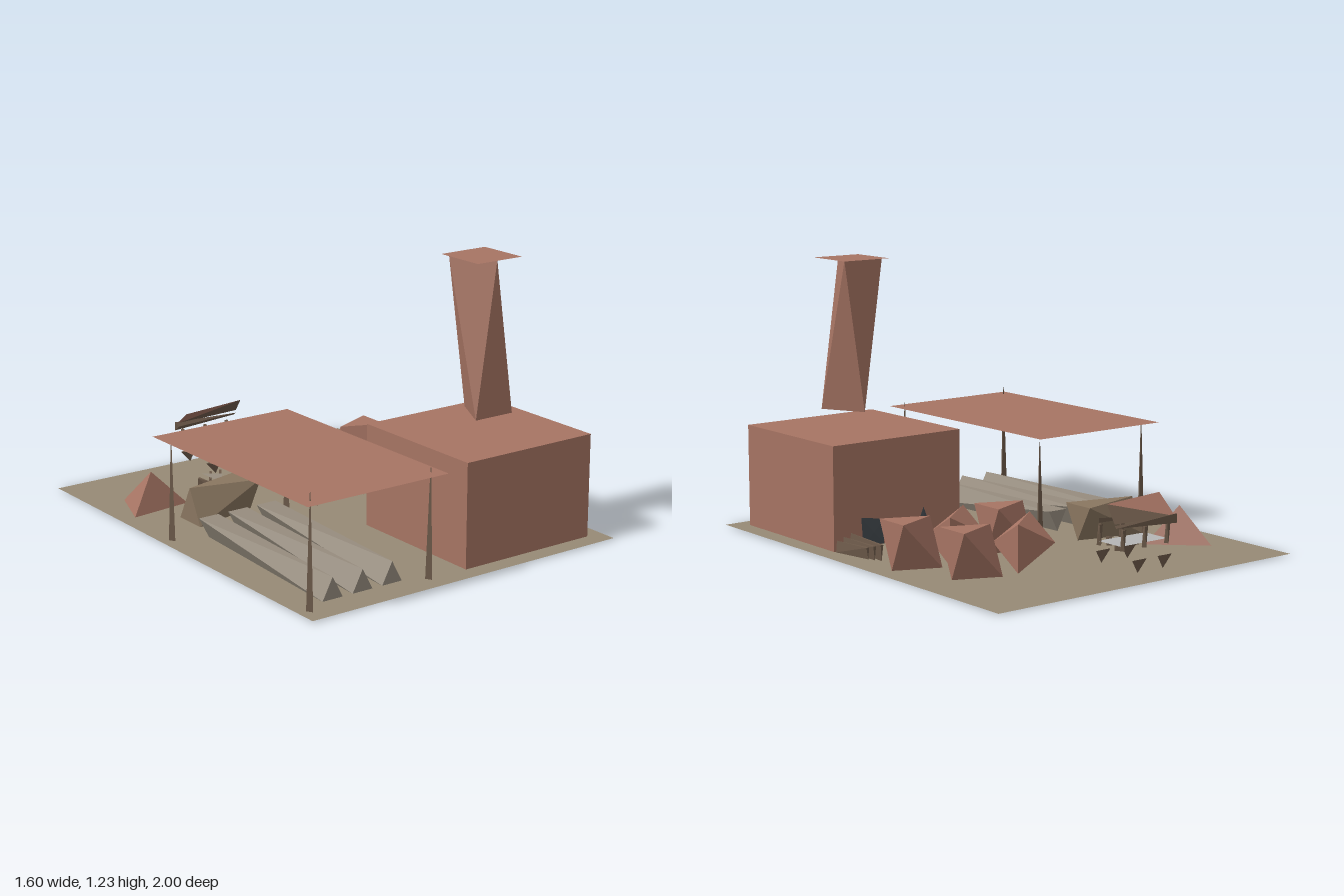
import * as THREE from 'three';
import { ConvexGeometry } from 'three/addons/geometries/ConvexGeometry.js';

const mat = (color) => new THREE.MeshStandardMaterial({ color, flatShading: true, side: THREE.DoubleSide });

export function createModel() {
  const model = new THREE.Group();
  const clay = mat(0xa67463), earth = mat(0x968a75), wood = mat(0x6d5a4a), timber = mat(0x8a7660);
  const stone = mat(0x968c7e), slate = mat(0x454b50), pale = mat(0xb5b5b5);

  const add = (name, geometry, material, x = 0, y = 0, z = 0, parent = model) => {
    const mesh = new THREE.Mesh(geometry, material);
    mesh.name = name;
    mesh.position.set(x, y, z);
    parent.add(mesh);
    return mesh;
  };
  const hull = (pts) => new ConvexGeometry(pts.map((p) => new THREE.Vector3(...p)));
  const sheet = (w, d) => new THREE.PlaneGeometry(w, d).rotateX(-Math.PI / 2);
  const triangle = (...pts) => {
    const g = new THREE.BufferGeometry();
    g.setAttribute('position', new THREE.Float32BufferAttribute(pts.flat(), 3));
    g.computeVertexNormals();
    return g;
  };

  // Twisted three-sided blocks: opposite ends are triangles turned half a turn.
  const twistAlongX = (w, h, d) => {
    const [x, y, z] = [w / 2, h / 2, d / 2];
    return hull([[-x, -y, -z], [-x, -y, z], [-x, y, 0], [x, y, -z], [x, y, z], [x, -y, 0]]);
  };
  const twistAlongY = (w, h, d) => {
    const [x, y, z] = [w / 2, h / 2, d / 2];
    return hull([[-x, -y, z], [x, -y, z], [0, -y, -z], [-x, y, -z], [x, y, -z], [0, y, z]]);
  };
  const twistAlongZ = (w, h, d) => {
    const [x, y, z] = [w / 2, h / 2, d / 2];
    return hull([[-x, -y, z], [x, -y, z], [0, y, z], [-x, y, -z], [x, y, -z], [0, -y, -z]]);
  };
  const twistOnEdge = (w, h, d) => {
    const [x, y, z] = [w / 2, h / 2, d / 2];
    return hull([[-x, -y, z], [-x, y, z], [x, -y, -z], [x, y, -z], [-x, 0, -z], [x, 0, z]]);
  };

  // Yard
  add('ground', sheet(1.6, 2), earth, 0, 0.006, 0);

  // Kiln house with its chimney
  add('house', new THREE.BoxGeometry(0.68, 0.463, 0.68), clay, 0.38, 0.239, 0.58);
  add('chimney', twistAlongY(0.2, 0.68, 0.195), clay, 0.38, 0.89, 0.585);
  add('chimneyCap', sheet(0.24, 0.24), clay, 0.38, 1.232, 0.58);
  add('doorway', hull([[0.46, 0.01, 0.235], [0.57, 0.01, 0.235], [0.58, 0.14, 0.235],
    [0.46, 0.12, 0.235], [0.52, 0.07, 0.225]]), slate);
  add('firingHole', hull([[0.19, 0.01, 0.235], [0.3, 0.01, 0.235], [0.245, 0.145, 0.235],
    [0.245, 0.02, 0.225]]), slate);

  // Open shelter on four tapering posts
  add('shelterRoof', sheet(0.7, 1.13), clay, -0.448, 0.465, 0.402);
  for (const [x, z, top] of [[-0.745, 0.91, 0.5], [-0.145, 0.91, 0.485], [-0.745, -0.1, 0.46], [-0.145, -0.1, 0.44]]) {
    add('shelterPost', new THREE.CylinderGeometry(0.002, 0.018, top, 3), wood, x, top / 2, z);
  }

  // Long drying rows under the shelter
  for (const x of [-0.6, -0.45, -0.3]) {
    add('dryingRow', twistAlongZ(0.1, 0.095, 0.9), stone, x, 0.054, 0.41);
  }

  // Wooden stack and clay heap behind the shelter
  add('woodStack', twistAlongX(0.32, 0.158, 0.162), timber, -0.405, 0.087, -0.244);
  add('clayHeap', hull([[-0.64, 0.006, -0.68], [-0.725, 0.006, -0.445], [-0.43, 0.006, -0.48],
    [-0.587, 0.17, -0.53]]), clay);

  // Brick piles
  for (const [x, z] of [[0.52, -0.465], [0.12, -0.185], [0.62, -0.185]]) {
    add('brickPile', twistAlongX(0.2, 0.208, 0.17), clay, x, 0.11, z);
  }
  for (const [x, z] of [[0.24, -0.465], [0.38, -0.185]]) {
    add('brickPile', twistOnEdge(0.2, 0.208, 0.17), clay, x, 0.11, z);
  }

  // Loose boards beside the house
  [0.66, 0.7, 0.738].forEach((x, i) => {
    const board = add('board', twistAlongZ(0.014, 0.07 - i * 0.01, 0.23), wood, x, 0.05, 0.085 - i * 0.005);
    board.rotation.x = (i - 1) * 0.05;
  });

  // Small stall: counter, posts, beams and tilted roof
  const stall = new THREE.Group();
  stall.name = 'stall';
  model.add(stall);
  add('counter', sheet(0.26, 0.14), pale, -0.07, 0.138, -0.8, stall);
  for (const x of [-0.19, -0.065, 0.055]) {
    for (const z of [-0.735, -0.88]) {
      add('stallPost', twistAlongY(0.018, 0.09, 0.018), wood, x, 0.165, z, stall);
    }
  }
  add('stallRoof', triangle([-0.235, 0.315, -0.78], [0.1, 0.315, -0.83], [-0.215, 0.235, -0.9]), clay, 0, 0, 0, stall);
  add('roofEdge', triangle([-0.215, 0.235, -0.9], [0.1, 0.315, -0.83], [0.12, 0.245, -0.9]), wood, 0, 0, 0, stall);
  add('roofBeam', hull([[-0.225, 0.205, -0.9], [-0.225, 0.245, -0.9], [-0.21, 0.225, -0.885],
    [0.11, 0.225, -0.9], [0.11, 0.235, -0.89]]), wood, 0, 0, 0, stall);
  add('frontBeam', triangle([-0.2, 0.21, -0.735], [0.06, 0.215, -0.735], [0.06, 0.235, -0.735]), wood, 0, 0, 0, stall);

  // Stools around the stall
  for (const [x, z] of [[-0.14, -0.92], [0, -0.92], [-0.14, -0.7], [0, -0.695]]) {
    add('stool', hull([[x - 0.04, 0.085, z], [x + 0.04, 0.085, z], [x, 0.09, z - 0.015], [x, 0.08, z + 0.015],
      [x + 0.01, 0.03, z]]), wood, 0, 0, 0, stall);
  }

  // Little work bench with scattered sticks
  add('workBench', triangle([-0.27, 0.08, -0.6], [-0.25, 0.07, -0.48], [-0.19, 0.08, -0.55]), stone);
  const sticks = [[-0.29, -0.53, 0.5], [-0.23, -0.47, -0.5], [-0.19, -0.57, -0.5], [-0.24, -0.58, -0.6]];
  for (const [x, z, turn] of sticks) {
    const stick = add('stick', twistAlongZ(0.012, 0.04, 0.09), wood, x, 0.05, z);
    stick.rotation.set(0.25, turn, 0);
  }
  return model;
}
